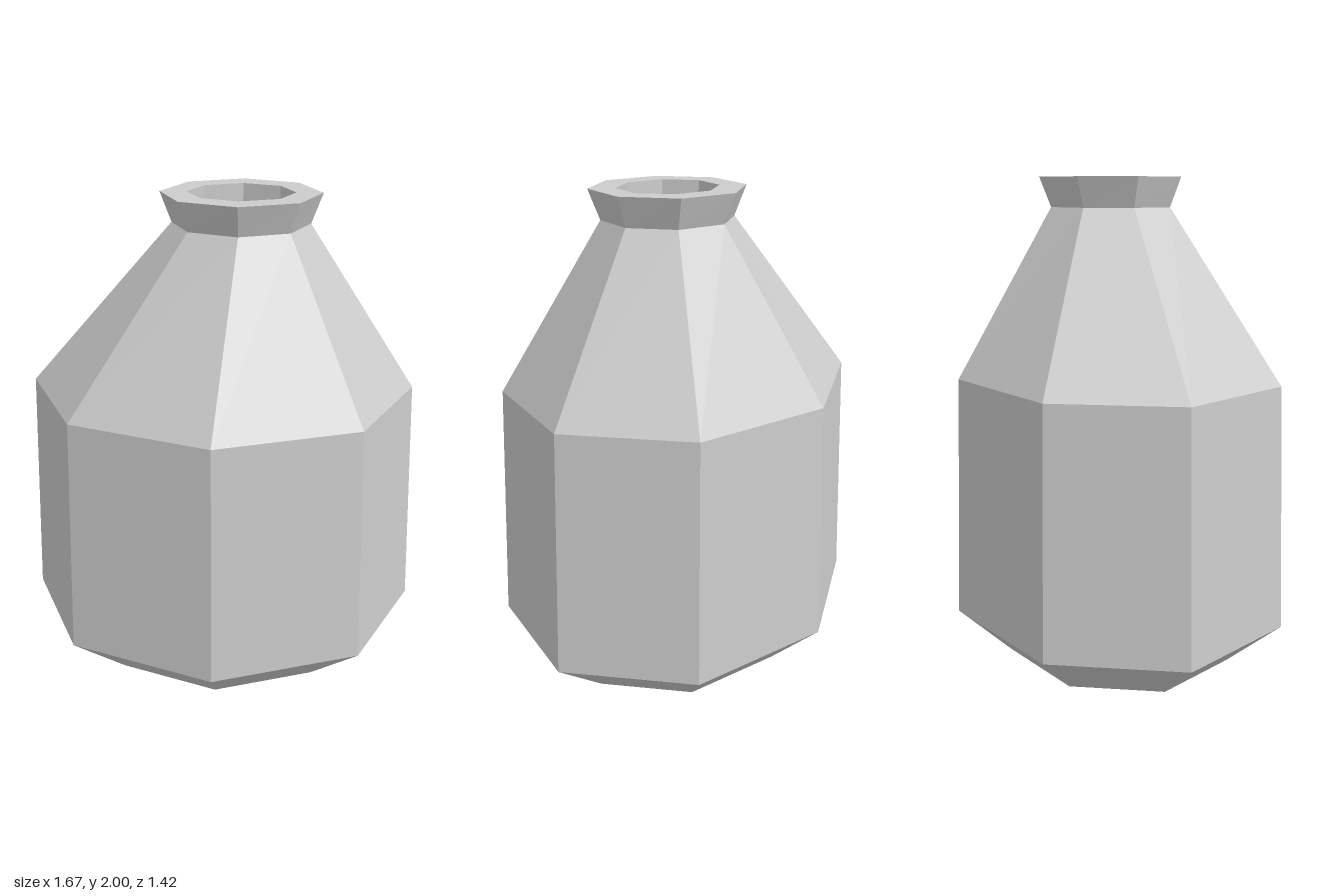
import * as THREE from 'three';

const SIDES = 8;

// One point of an elliptical octagon ring: [y, radiusX, radiusZ, centreX]
function ringPoint([y, rx, rz, cx], i) {
  const a = (i / SIDES) * Math.PI * 2;
  return [cx + rx * Math.cos(a), y, rz * Math.sin(a)];
}

// Faceted skin through consecutive rings; a zero-radius ring closes an end
function loft(rings) {
  const positions = [];
  for (let r = 0; r < rings.length - 1; r++) {
    const low = rings[r], high = rings[r + 1];
    for (let i = 0; i < SIDES; i++) {
      const a = ringPoint(low, i), b = ringPoint(low, i + 1);
      const c = ringPoint(high, i), d = ringPoint(high, i + 1);
      if (low[1] > 0) positions.push(...a, ...c, ...b);
      if (high[1] > 0) positions.push(...b, ...c, ...d);
    }
  }
  const geometry = new THREE.BufferGeometry();
  geometry.setAttribute('position', new THREE.Float32BufferAttribute(positions, 3));
  geometry.computeVertexNormals();
  return geometry;
}

export function createModel() {
  const group = new THREE.Group();
  group.name = 'bottle';
  const clay = new THREE.MeshStandardMaterial({ color: 0xcccccc, flatShading: true });
  clay.name = 'light grey';

  // Main cross-sections; the neck sits slightly off centre
  const neckX = 0.075;
  const foot = [0, 0.575, 0.49, 0];
  const belly = [0.21, 0.835, 0.71, 0];
  const shoulderLine = [1.205, 0.793, 0.677, 0];
  const neck = [1.88, 0.275, 0.26, neckX];
  const rim = [2, 0.32, 0.308, neckX];
  const mouth = [2, 0.215, 0.196, neckX];
  const well = [1.6, 0.212, 0.193, neckX];

  const parts = {
    base: [[0, 0, 0, 0], foot, belly],
    body: [belly, shoulderLine],
    shoulder: [shoulderLine, neck],
    lip: [neck, rim, mouth],
    mouthInside: [mouth, well, [1.6, 0, 0, neckX]],
  };
  for (const [name, rings] of Object.entries(parts)) {
    const mesh = new THREE.Mesh(loft(rings), clay);
    mesh.name = name;
    group.add(mesh);
  }
  return group;
}
